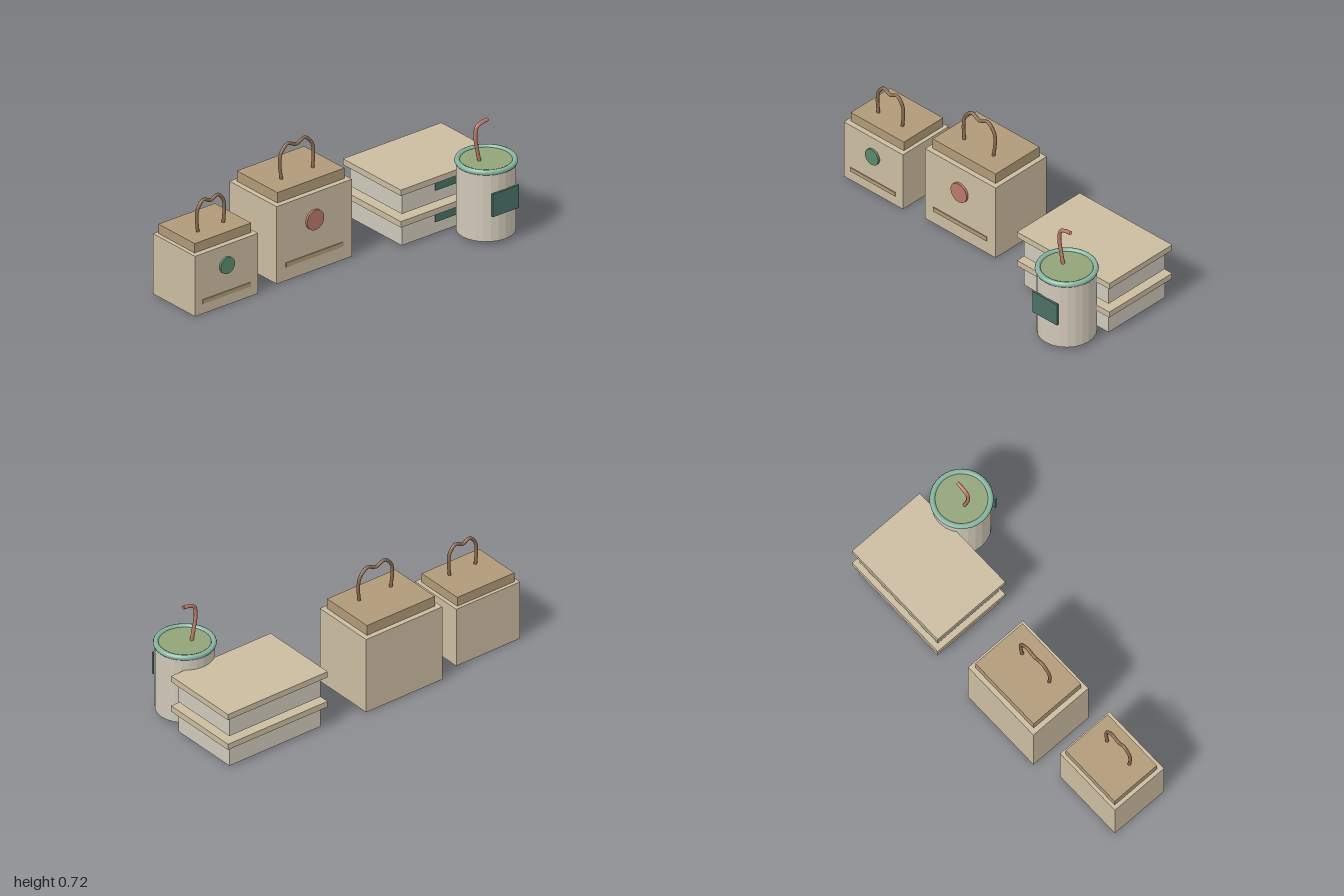
import * as THREE from 'three';

const mat = (color, extra = {}) => new THREE.MeshStandardMaterial({ color, ...extra });
const TAN = 0xcbbca0, FOLD = 0xb09a78, CORD = 0x8a6a4c, GREEN = 0x5b8a6a, RED = 0xb87868;
const TRAY = 0xcfc9bb, TEAL = 0x4a6f66, CUP = 0xd0c8b8, RIM = 0x86b5a0, LID = 0x92a377;

function add(parent, name, geometry, material) {
  const mesh = new THREE.Mesh(geometry, material);
  mesh.name = name;
  parent.add(mesh);
  return mesh;
}

// Box given by its extents along each axis
function box(parent, name, color, [x0, x1], [y0, y1], [z0, z1]) {
  const g = new THREE.BoxGeometry(x1 - x0, y1 - y0, z1 - z0);
  g.translate((x0 + x1) / 2, (y0 + y1) / 2, (z0 + z1) / 2);
  return add(parent, name, g, mat(color));
}

function tube(parent, name, color, points, radius) {
  const curve = new THREE.CatmullRomCurve3(points.map((p) => new THREE.Vector3(...p)));
  return add(parent, name, new THREE.TubeGeometry(curve, 40, radius, 10),
    mat(color, { side: THREE.DoubleSide }));
}

// Paper bag: body, folded top, round sticker, strip and heart-shaped cord handle
function createBag(name, o) {
  const bag = new THREE.Group();
  bag.name = name;
  const front = o.z[1];
  box(bag, 'bagBody', TAN, o.x, o.y, o.z);
  box(bag, 'foldedTop', FOLD, o.topX, o.topY, o.topZ);
  box(bag, 'frontStrip', FOLD, o.stripX, o.stripY, [front - 0.004, front + 0.005]);

  const disc = new THREE.CylinderGeometry(o.discR, o.discR, 0.014, 24);
  disc.rotateX(Math.PI / 2);
  add(bag, 'roundSticker', disc, mat(o.discColor)).position.set(o.cx, o.discY, front + 0.006);

  const side = [[0.1, -0.02], [0.11, 0.09], [0.1, 0.145], [0.055, 0.188]];
  const outline = [
    ...side.map(([x, y]) => [-x, y]), [0, 0.167],
    ...side.slice().reverse(),
  ];
  const points = outline.map(([x, y]) => [
    o.cx + x * o.handleW, o.topY[1] + y * o.handleH, o.handleZ - y * o.lean,
  ]);
  tube(bag, 'handle', CORD, points, 0.0095);
  return bag;
}

// Two lidded food boxes, one above the other
function createBoxes() {
  const stack = new THREE.Group();
  stack.name = 'foodBoxes';
  for (const y of [0.01, 0.195]) {
    box(stack, 'boxBody', TRAY, [0.358, 0.971], [y, y + 0.123], [-0.356, 0.073]);
    box(stack, 'boxLid', TAN, [0.331, 1], [y + 0.123, y + 0.158], [-0.381, 0.098]);
    box(stack, 'boxLabel', TEAL, [0.583, 0.747], [y + 0.068, y + 0.123], [0.07, 0.08]);
  }
  return stack;
}

// Drink cup with rounded rim, lid, label and bent straw
function createCup() {
  const cup = new THREE.Group();
  cup.name = 'drinkCup';
  const cx = 0.809, cz = 0.221;
  add(cup, 'cupBody', new THREE.CylinderGeometry(0.159, 0.159, 0.395, 24),
    mat(CUP, { flatShading: true })).position.set(cx, 0.2225, cz);

  const rim = new THREE.TorusGeometry(0.153, 0.0155, 8, 32);
  rim.rotateX(Math.PI / 2);
  add(cup, 'rim', rim, mat(RIM)).position.set(cx, 0.428, cz);
  add(cup, 'cupLid', new THREE.CylinderGeometry(0.146, 0.146, 0.015, 32),
    mat(LID)).position.set(cx, 0.424, cz);

  box(cup, 'cupLabel', TEAL, [0.719, 0.896], [0.183, 0.316], [0.376, 0.388]);
  const z = 0.21;
  tube(cup, 'straw', RED, [
    [0.774, 0.42, z], [0.757, 0.5, z], [0.745, 0.575, z],
    [0.754, 0.63, z], [0.785, 0.648, z], [0.828, 0.654, z],
  ], 0.0105);
  return cup;
}

export function createModel() {
  const model = new THREE.Group();
  model.name = 'takeawaySet';
  model.add(
    createBag('smallBag', {
      x: [-1, -0.572], y: [0.002, 0.355], z: [-0.332, 0.016],
      topX: [-0.978, -0.594], topY: [0.356, 0.411], topZ: [-0.313, -0.014],
      stripX: [-0.95, -0.625], stripY: [0.061, 0.085],
      cx: -0.787, discY: 0.238, discR: 0.048, discColor: GREEN,
      handleW: 0.85, handleH: 0.93, handleZ: -0.115, lean: 0,
    }),
    createBag('largeBag', {
      x: [-0.43, 0.081], y: [0.005, 0.458], z: [-0.392, -0.003],
      topX: [-0.402, 0.054], topY: [0.46, 0.521], topZ: [-0.365, -0.031],
      stripX: [-0.368, 0.02], stripY: [0.084, 0.11],
      cx: -0.175, discY: 0.304, discR: 0.058, discColor: RED,
      handleW: 1.04, handleH: 1, handleZ: -0.145, lean: 0.04,
    }),
    createBoxes(),
    createCup(),
  );
  return model;
}
